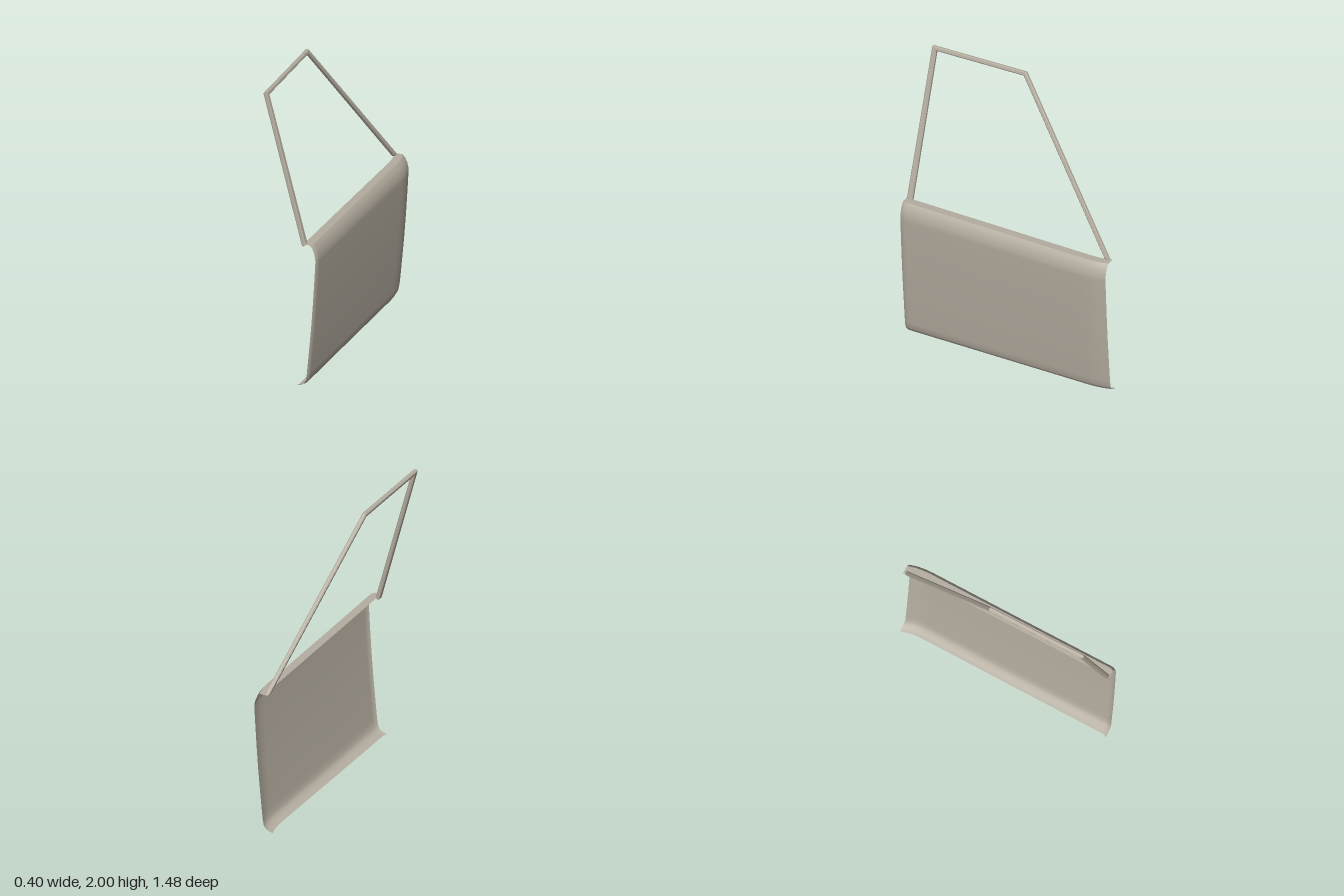
import * as THREE from 'three';

const paint = new THREE.MeshStandardMaterial({ color: 0xb5ada0, side: THREE.DoubleSide });
paint.name = 'warm grey paint';

// Lengthwise stations: [z, sideways shift]; both ends curl slightly inwards
const stations = [
  [0.74, -0.012], [0.725, -0.003], [0.7, 0], [0.2, 0.004], [-0.3, 0.009],
  [-0.58, 0.012], [-0.64, 0.01], [-0.69, 0.003], [-0.74, -0.011],
];

// Sheet lofted from one [x, y] profile along the stations
function sheet(name, profile, shiftScale) {
  const positions = [], index = [], n = profile.length;
  for (const [z, dx] of stations) {
    for (const [x, y] of profile) {
      const drop = 0.015 * (0.74 - z) / 1.48 * y;
      positions.push(x + dx * shiftScale, y - drop, z);
    }
  }
  for (let i = 0; i < stations.length - 1; i++) {
    for (let j = 0; j < n - 1; j++) {
      const a = i * n + j, b = a + 1, c = a + n, d = c + 1;
      index.push(a, c, b, b, c, d);
    }
  }
  const geometry = new THREE.BufferGeometry();
  geometry.setAttribute('position', new THREE.Float32BufferAttribute(positions, 3));
  geometry.setIndex(index);
  geometry.computeVertexNormals();
  const mesh = new THREE.Mesh(geometry, paint);
  mesh.name = name;
  return mesh;
}

// Window frame: flat outline (z, slant height) given depth and leaned inwards
function windowFrame() {
  const outline = [
    [0.736, 0], [0.705, 1.046], [0.03, 1.054], [-0.727, 0],
    [-0.692, 0], [0.044, 1.026], [0.672, 1.018], [0.696, 0],
  ];
  const shape = new THREE.Shape(outline.map(([z, s]) => new THREE.Vector2(z, s)));
  const depth = 0.028, bevel = 0.006;
  const geometry = new THREE.ExtrudeGeometry(shape, {
    depth: depth - 2 * bevel, bevelEnabled: true, bevelSegments: 1,
    bevelSize: bevel, bevelThickness: bevel, bevelOffset: -bevel,
  });
  geometry.translate(0, 0, bevel - depth / 2);
  const along = new THREE.Vector3(0, 0, 1);
  const up = new THREE.Vector3(-0.282, 1.015, 0).normalize();
  const through = new THREE.Vector3().crossVectors(along, up);
  const matrix = new THREE.Matrix4().makeBasis(along, up, through);
  matrix.setPosition(0.093, 0.98, 0);
  geometry.applyMatrix4(matrix);
  const mesh = new THREE.Mesh(geometry, paint);
  mesh.name = 'windowFrame';
  return mesh;
}

export function createModel() {
  const group = new THREE.Group();
  group.name = 'vehicleDoor';

  // Outer skin with curled sill lip and rounded shoulder
  group.add(sheet('doorSkin', [
    [0.055, 0], [0.085, 0.008], [0.108, 0.022], [0.121, 0.045], [0.128, 0.09],
    [0.143, 0.25], [0.158, 0.42], [0.171, 0.6], [0.18, 0.75], [0.187, 0.88],
    [0.186, 0.91], [0.178, 0.945], [0.165, 0.975], [0.148, 0.995],
  ], 1));

  // Flat ledge under the window
  group.add(sheet('windowLedge', [[0.148, 0.995], [0.092, 0.994]], 1));

  group.add(windowFrame());
  return group;
}
